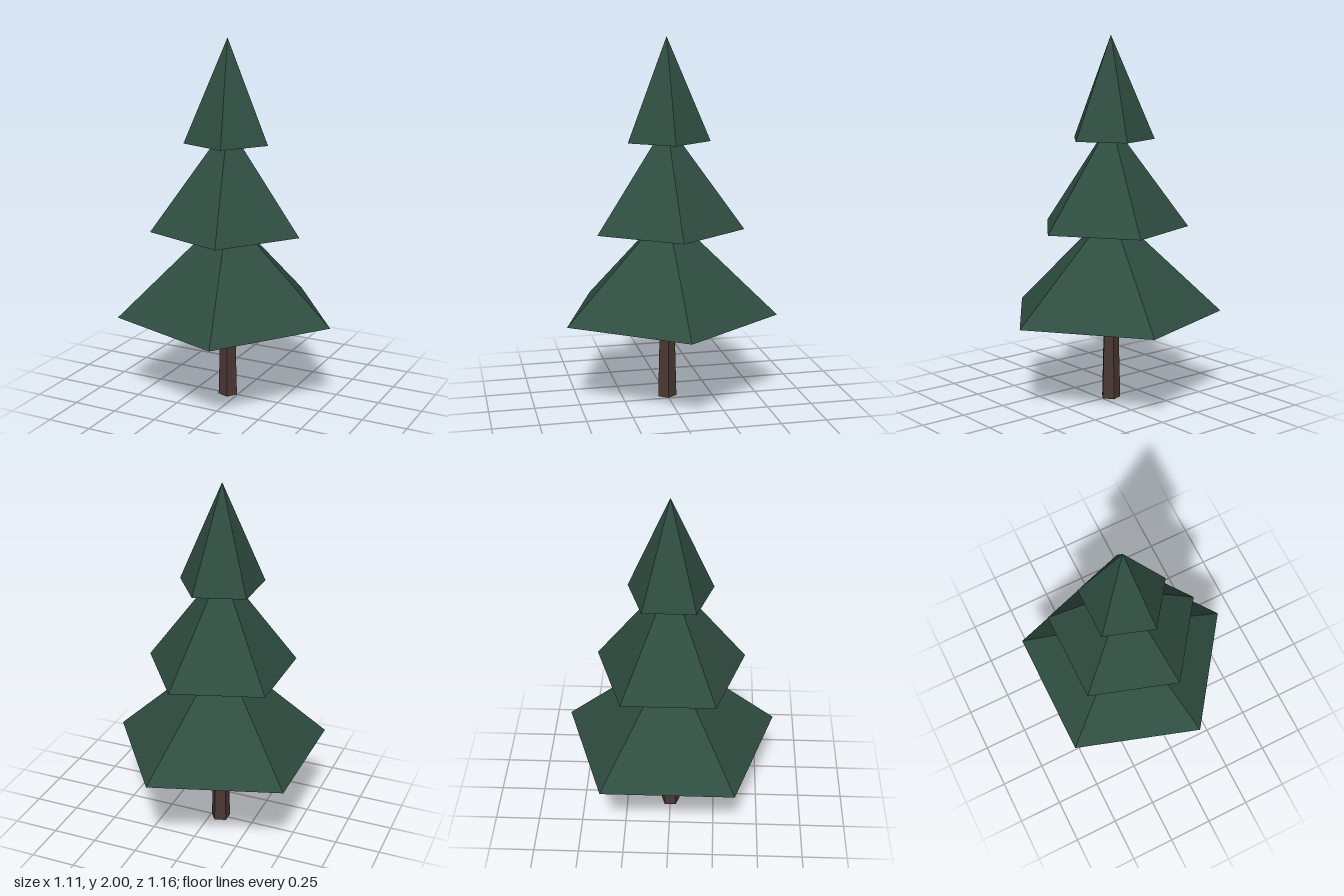
import * as THREE from 'three';

const SIDES = 5;
const AXIS_X = -0.058; // the pentagon is off-centre so that its bounds are centred

export function createModel() {
  const foliage = new THREE.MeshStandardMaterial({ color: 0x2f4d41, flatShading: true });
  foliage.name = 'pine green';
  const bark = new THREE.MeshStandardMaterial({ color: 0x4b3832, flatShading: true });
  bark.name = 'bark brown';

  const tree = new THREE.Group();
  tree.name = 'pineTree';

  // Five-sided section with one corner pointing to +x
  const addSection = (name, material, rTop, rBottom, y0, height) => {
    const geometry = new THREE.CylinderGeometry(rTop, rBottom, height, SIDES, 1, false, Math.PI / 2);
    const mesh = new THREE.Mesh(geometry, material);
    mesh.name = name;
    mesh.position.set(AXIS_X, y0 + height / 2, 0);
    tree.add(mesh);
  };

  // Tapered trunk
  addSection('trunk', bark, 0.042, 0.055, 0, 0.5);

  // Stacked foliage cones, each tip hidden inside the next tier
  addSection('lowerFoliage', foliage, 0, 0.611, 0.487, 0.578);
  addSection('middleFoliage', foliage, 0, 0.425, 0.965, 0.578);
  addSection('upperFoliage', foliage, 0, 0.238, 1.445, 0.555);

  return tree;
}
